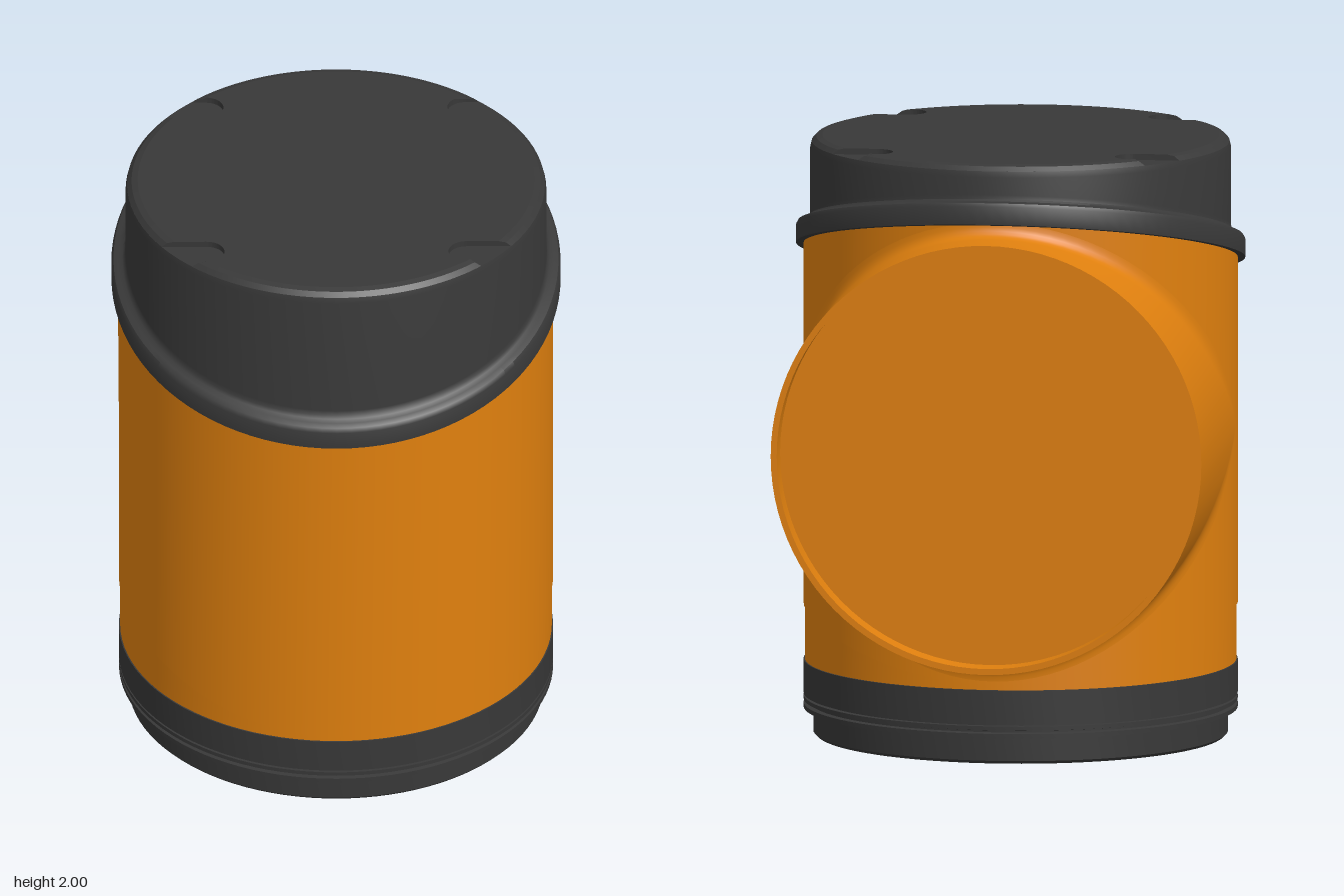
import * as THREE from 'three';
import { toCreasedNormals } from 'three/addons/utils/BufferGeometryUtils.js';
import { ParametricGeometry } from 'three/addons/geometries/ParametricGeometry.js';

const R = 0.717;        // radius of body and side branch
const ZC = 0.08;        // z of the vertical axis
const YB = 1.047;       // height of the branch axis
const Z_END = -0.825;   // open end of the branch
const SLOPE = -0.262;   // tilt of the cap joint
const Y_CAP = 1.615;    // joint height on the axis
const SEG = 96;

const orange = new THREE.MeshStandardMaterial({ color: 0xe0800e });
const dark = new THREE.MeshStandardMaterial({ color: 0x383838 });

function part(name, geometry, material, crease = 0.6) {
  const mesh = new THREE.Mesh(toCreasedNormals(geometry, crease), material);
  mesh.name = name;
  return mesh;
}

const lathe = (pts) =>
  new THREE.LatheGeometry(pts.map(([x, y]) => new THREE.Vector2(x, y)), SEG);

// Move every vertex by a rule
function warp(geometry, rule) {
  const p = geometry.attributes.position;
  const v = new THREE.Vector3();
  for (let i = 0; i < p.count; i++) {
    rule(v.fromBufferAttribute(p, i));
    p.setXYZ(i, v.x, v.y, v.z);
  }
  return geometry;
}

// Main sleeve: slanted top, arched lower edge
function sleeveGeometry() {
  return warp(new THREE.CylinderGeometry(R, R, 1, SEG, 1, true), (v) => {
    v.y = v.y > 0 ? Y_CAP + 0.02 + SLOPE * v.z : 0.27 + 0.17 * (v.x / R) ** 2;
  });
}

// Side branch: starts on the body with a small fillet, runs straight to its end
function branchGeometry() {
  const rows = 7;
  return new ParametricGeometry((u, v, out) => {
    const a = -u * Math.PI * 2;
    const s = Math.sin(a);
    const x = R * Math.cos(a), y = YB + R * s;
    const z = ZC - R * Math.abs(s);
    const k = Math.round(v * rows);
    if (k === rows) return out.set(x, y, Z_END);
    const t = k / (rows - 1);
    const d = 0.05 * Math.min(1, Math.abs(s) * 3);
    out.set(x, y + Math.sign(s) * d * (1 - t) ** 2, z - d * t * t);
  }, SEG, rows);
}

// Cap top: disc with four finger notches open to the rounded edge
function capTopGeometry() {
  const r = 0.69, cx = 0.43, cz = 0.4375, w = 0.06;
  const edgeX = (y) => Math.sqrt(r * r - y * y);
  const angle = (y) => Math.atan2(y, edgeX(y));
  const lo = angle(cz - w), hi = angle(cz + w);
  const shape = new THREE.Shape();
  shape.moveTo(edgeX(cz - w), -(cz - w));
  shape.absarc(0, 0, r, -lo, lo, false);
  shape.absarc(cx, cz, w, -Math.PI / 2, Math.PI / 2, true);
  shape.absarc(0, 0, r, hi, Math.PI - hi, false);
  shape.absarc(-cx, cz, w, Math.PI / 2, -Math.PI / 2, true);
  shape.absarc(0, 0, r, Math.PI - lo, Math.PI + lo, false);
  shape.absarc(-cx, -cz, w, Math.PI / 2, -Math.PI / 2, true);
  shape.absarc(0, 0, r, Math.PI + hi, Math.PI * 2 - hi, false);
  shape.absarc(cx, -cz, w, -Math.PI / 2, Math.PI / 2, true);
  const geo = new THREE.ExtrudeGeometry(shape, {
    depth: 1, steps: 2, bevelEnabled: false, curveSegments: 28,
  });
  // Round the outer edge, keeping notch corners on their straight sides
  warp(geo, (v) => {
    const a = Math.PI / 6 + v.z * Math.PI / 3;
    const rr = 0.655 + 0.04 * Math.cos(a);
    const len = Math.hypot(v.x, v.y);
    if (len > r - 0.002) {
      const corner = [cz - w, cz + w].some((c) => Math.abs(Math.abs(v.y) - c) < 1e-4);
      if (corner) v.x = Math.sign(v.x) * Math.sqrt(rr * rr - v.y * v.y);
      else { v.x *= rr / len; v.y *= rr / len; }
    }
    v.z = 1.96 + 0.04 * Math.sin(a);
  });
  return geo.rotateX(-Math.PI / 2);
}

export function createModel() {
  const model = new THREE.Group();
  model.name = 'pipeTee';

  // Parts around the vertical axis
  const upright = new THREE.Group();
  upright.name = 'upright';
  upright.position.z = ZC;
  model.add(upright);

  upright.add(part('bodySleeve', sleeveGeometry(), orange));
  upright.add(part('lowerBody',
    new THREE.CylinderGeometry(0.713, 0.713, 0.23, SEG, 1, true).translate(0, 0.355, 0), orange));

  // Base plug with collar, sealing ring and foot
  upright.add(part('basePlug', lathe([
    [0, 0.006], [0.545, 0.006], [0.55, 0], [0.675, 0], [0.685, 0.01], [0.685, 0.09],
    [0.717, 0.09], [0.717, 0.105], [0.7, 0.108], [0.7, 0.114], [0.717, 0.117],
    [0.717, 0.13], [0.695, 0.13], [0.695, 0.137], [0.717, 0.137], [0.717, 0.25], [0.69, 0.255],
  ]), dark));

  // Cap with slanted flange; the flange rows follow the joint's tilt
  const cap = lathe([
    [0.69, Y_CAP], [0.742, Y_CAP], [0.742, 1.675], [0.735, 1.688], [0.72, 1.694],
    [0.706, 1.698], [0.698, 1.706], [0.695, 1.72], [0.695, 1.96], [0.69, 1.98], [0, 1.98],
  ]);
  warp(cap, (v) => { if (v.y < 1.9) v.y += SLOPE * v.z; });
  upright.add(part('cap', cap, dark));
  upright.add(part('capTop', capTopGeometry(), dark, 0.25));

  // Side branch with recessed end wall
  model.add(part('sideBranch', branchGeometry(), orange));
  const end = lathe([[R, 0], [0.697, 0], [0.697, -0.09], [0, -0.09]])
    .rotateX(-Math.PI / 2).translate(0, YB, Z_END);
  model.add(part('branchEnd', end, orange));

  return model;
}
